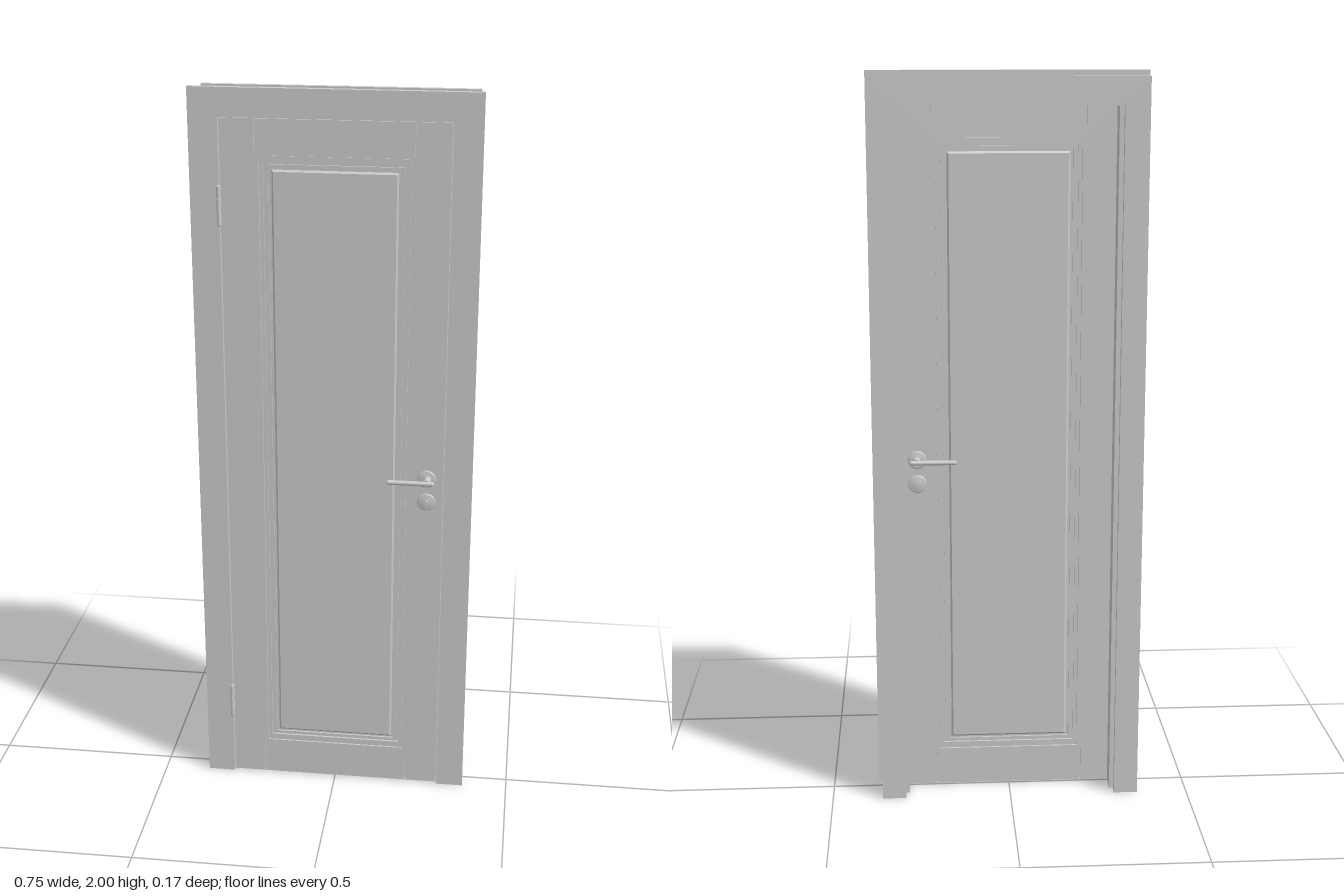
import * as THREE from 'three';

const material = new THREE.MeshStandardMaterial({ color: 0xcccccc, flatShading: false });

function add(parent, name, geometry, x = 0, y = 0, z = 0) {
  const mesh = new THREE.Mesh(geometry, material);
  mesh.name = name;
  mesh.position.set(x, y, z);
  parent.add(mesh);
  return mesh;
}

function polygon(points, Kind = THREE.Shape) {
  return new Kind(points.map(([x, y]) => new THREE.Vector2(x, y)));
}

const rect = (x0, y0, x1, y1) => [[x0, y0], [x1, y0], [x1, y1], [x0, y1]];

function extrude(shape, depth) {
  return new THREE.ExtrudeGeometry(shape, { depth, bevelEnabled: false, curveSegments: 24 });
}

// Three-sided surround, open at the floor
function surround(outerX, outerTop, innerX, innerTop, depth) {
  return extrude(polygon([
    [-outerX, 0], [-innerX, 0], [-innerX, innerTop], [innerX, innerTop],
    [innerX, 0], [outerX, 0], [outerX, outerTop], [-outerX, outerTop],
  ]), depth);
}

// Rectangular ring centred on x
function ring(outer, inner, depth) {
  const shape = polygon(rect(-outer.x, outer.y0, outer.x, outer.y1));
  shape.holes.push(polygon(rect(-inner.x, inner.y0, inner.x, inner.y1), THREE.Path));
  return extrude(shape, depth);
}

// Stiles and rails as one skin, with narrow joint slits and the panel opening
function leafSkin(depth) {
  const shape = polygon(rect(-0.295, 0.003, 0.295, 1.923));
  shape.holes.push(polygon(rect(-0.195, 0.11, 0.195, 1.83), THREE.Path));
  for (const x of [-0.205, 0.205]) {
    for (const [y0, y1] of [[0.005, 0.105], [1.835, 1.921]]) {
      shape.holes.push(polygon(rect(x - 0.0015, y0, x + 0.0015, y1), THREE.Path));
    }
  }
  return extrude(shape, depth);
}

// Everything on one face of the leaf, built looking towards +z from the leaf's middle
function leafFace() {
  const face = new THREE.Group();
  add(face, 'stilesAndRails', leafSkin(0.009), 0, 0, 0.011);
  add(face, 'outerMoulding', ring(
    { x: 0.194, y0: 0.111, y1: 1.829 }, { x: 0.184, y0: 0.128, y1: 1.812 }, 0.006), 0, 0, 0.011);
  add(face, 'innerMoulding', ring(
    { x: 0.179, y0: 0.133, y1: 1.807 }, { x: 0.17, y0: 0.14, y1: 1.798 }, 0.005), 0, 0, 0.011);
  // Raised field with a sloped edge
  const field = new THREE.ExtrudeGeometry(polygon(rect(-0.158, 0.15, 0.158, 1.788)), {
    depth: 0.001, bevelThickness: 0.004, bevelSize: 0.005, bevelSegments: 1,
  });
  add(face, 'panelField', field, 0, 0, 0.012);
  return face;
}

// Rosette or key plate: a rounded disc with a raised collar
function rosette() {
  const profile = [[0, 0.006], [0.011, 0.006], [0.012, 0.004], [0.021, 0.004], [0.025, 0.002], [0.025, 0]]
    .reverse().map(([r, h]) => new THREE.Vector2(r, h));
  return new THREE.LatheGeometry(profile, 32).rotateX(Math.PI / 2);
}

function handleSet() {
  const set = new THREE.Group();
  const x = 0.25, y = 0.963, keyY = 0.895;
  add(set, 'handleRosette', rosette(), x, y, 0.02);
  add(set, 'keyRosette', rosette(), x, keyY, 0.02);
  // Key cylinder
  add(set, 'keyBarrel', new THREE.CylinderGeometry(0.005, 0.005, 0.008, 20).rotateX(Math.PI / 2), x, keyY + 0.002, 0.028);
  add(set, 'keyBarrelFoot', new THREE.BoxGeometry(0.005, 0.011, 0.007), x, keyY - 0.005, 0.027);
  // Neck and lever
  add(set, 'leverNeck', new THREE.CylinderGeometry(0.01, 0.01, 0.035, 24).rotateX(Math.PI / 2), x + 0.002, y, 0.0375);
  add(set, 'lever', new THREE.CapsuleGeometry(0.0065, 0.116, 6, 20).rotateZ(Math.PI / 2), 0.2075, y, 0.0545);
  return set;
}

export function createModel() {
  const model = new THREE.Group();
  model.name = 'door';

  // Fixed frame
  add(model, 'frontArchitrave', surround(0.373, 2, 0.297, 1.925, 0.015), 0, 0, 0.031);
  add(model, 'backArchitrave', surround(0.36, 1.987, 0.294, 1.921, 0.014), 0, 0, -0.085);
  add(model, 'jamb', surround(0.32, 1.95, 0.297, 1.925, 0.102), 0, 0, -0.071);
  add(model, 'doorStop', surround(0.298, 1.926, 0.284, 1.912, 0.05), 0, 0, -0.052);

  // Leaf: core with matching faces and handles on both sides
  const leaf = new THREE.Group();
  leaf.name = 'leaf';
  leaf.position.z = 0.02;
  model.add(leaf);
  add(leaf, 'leafCore', new THREE.BoxGeometry(0.59, 1.92, 0.0225), 0, 0.963, 0);
  for (const side of [1, -1]) {
    const label = side > 0 ? 'front' : 'back';
    const face = leafFace();
    face.name = label + 'Face';
    const handle = handleSet();
    handle.name = label + 'Handle';
    face.scale.z = handle.scale.z = side;
    leaf.add(face, handle);
  }

  // Hinges: knuckles with end caps
  for (const y of [0.235, 1.698]) {
    const hinge = new THREE.Group();
    hinge.name = 'hinge';
    hinge.position.set(-0.299, y, 0.043);
    model.add(hinge);
    for (const dy of [-0.034, 0, 0.034]) {
      add(hinge, 'hingeKnuckle', new THREE.CylinderGeometry(0.006, 0.006, 0.0325, 20), 0, dy, 0);
    }
    for (const s of [-1, 1]) {
      add(hinge, 'hingeCap', new THREE.SphereGeometry(0.005, 16, 10), 0, s * 0.05, 0);
    }
  }
  return model;
}
